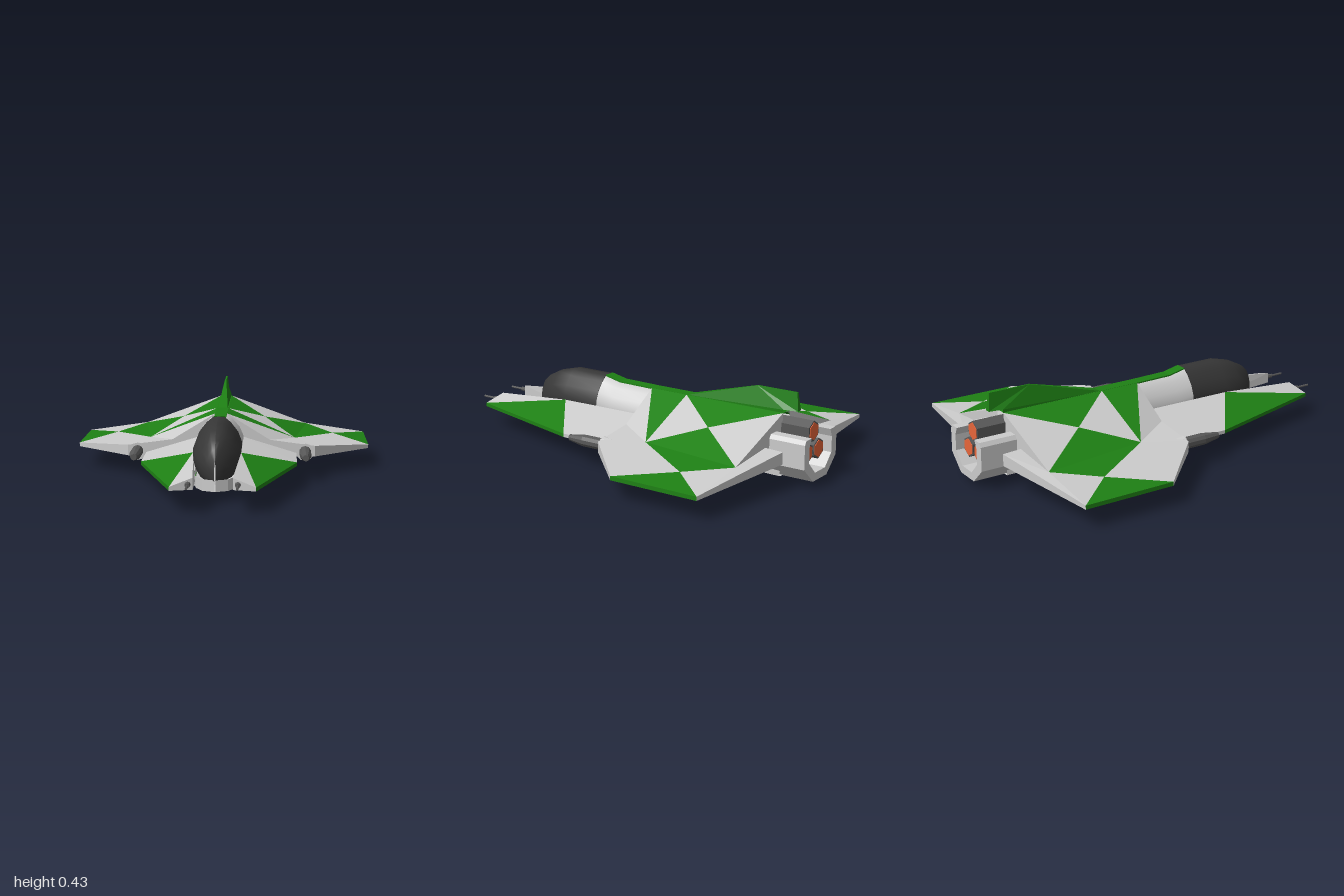
import * as THREE from 'three';

const mat = (color, flatShading = true) =>
  new THREE.MeshStandardMaterial({ color, flatShading, side: THREE.DoubleSide });
const GREY = mat(0xcccccc), GREEN = mat(0x1e8014), DARK = mat(0x404040), METAL = mat(0x585858);
const GLASS = mat(0x363636, false), SMOOTH = mat(0xcccccc, false), GLOW = mat(0xe8663a);

export function createModel() {
  const model = new THREE.Group();
  const add = (name, geometry, material, parent = model) => {
    const mesh = new THREE.Mesh(geometry, material);
    mesh.name = name;
    parent.add(mesh);
    return mesh;
  };

  // Flat polygons, turned to face away from an inner point, mirrored to both sides
  const panels = (name, material, inside, polygons) => {
    const core = new THREE.Vector3(...inside);
    for (const side of [1, -1]) {
      const pos = [];
      for (const poly of polygons) {
        for (let i = 1; i < poly.length - 1; i++) {
          const [a, b, c] = [poly[0], poly[i], poly[i + 1]].map(p => new THREE.Vector3(...p));
          const n = b.clone().sub(a).cross(c.clone().sub(a));
          const outward = n.dot(a.clone().sub(core)) > 0;
          const tri = outward === (side > 0) ? [a, b, c] : [a, c, b];
          for (const p of tri) pos.push(side * p.x, p.y, p.z);
        }
      }
      const g = new THREE.BufferGeometry();
      g.setAttribute('position', new THREE.Float32BufferAttribute(pos, 3));
      g.computeVertexNormals();
      add((side > 0 ? 'left ' : 'right ') + name, g, material);
    }
  };

  // Skin over equal-length cross-sections that run from the back to the front
  const loft = (name, sections, material) => {
    const n = sections[0].length, index = [];
    for (let i = 0; i < sections.length - 1; i++)
      for (let j = 0; j < n - 1; j++) {
        const a = i * n + j, b = a + n;
        index.push(a, b, a + 1, a + 1, b, b + 1);
      }
    const g = new THREE.BufferGeometry();
    g.setAttribute('position', new THREE.Float32BufferAttribute(sections.flat(2), 3));
    g.setIndex(index);
    g.computeVertexNormals();
    return add(name, g, material);
  };
  const mirrored = half => [...half.map(([x, y]) => [-x, y]), ...[...half].reverse()];

  // Main wing: corner points
  const ridgeF = [0.03, 0.32, -0.05], ridgeM = [0.03, 0.32, -0.26], ridgeB = [0.03, 0.32, -0.81];
  const foldF = [0.25, 0.185, -0.05], kneeM = [0.38, 0.165, -0.26], kneeB = [0.45, 0.165, -0.81];
  const shoulder = [0.48, 0.155, -0.05], tipF = [0.77, 0.12, -0.34], tipB = [0.77, 0.12, -0.81];
  const midA = [0.22, 0.243, -0.51], midB = [0.59, 0.142, -0.6];
  const finB = [0.2, 0.19, -0.91], finBLow = [0.2, 0.13, -0.91], finIn = [0.19, 0.19, -0.81];
  const low = ([x, , z]) => [x, 0.1, z];
  const wingCore = [0.3, 0.13, -0.5];

  panels('wing green panels', GREEN, wingCore, [
    [ridgeF, kneeM, ridgeM], [ridgeM, midA, ridgeB], [kneeM, kneeB, midA],
    [kneeM, midB, kneeB], [tipF, tipB, midB], [tipF, tipB, low(tipB), low(tipF)],
    [low(tipF), low(tipB), low(kneeB)],
  ]);
  panels('wing grey panels', GREY, wingCore, [
    [ridgeF, foldF, kneeM], [foldF, shoulder, kneeM], [shoulder, tipF, kneeM],
    [ridgeM, kneeM, midA], [ridgeB, midA, kneeB], [kneeM, tipF, midB], [kneeB, midB, tipB],
    [ridgeF, foldF, low(foldF), low(ridgeF)], [foldF, shoulder, low(shoulder), low(foldF)],
    [shoulder, tipF, low(tipF), low(shoulder)],
    [low(ridgeF), low(shoulder), low(tipF), low(kneeB), low(ridgeB)],
    [ridgeB, kneeB, low(kneeB), low(ridgeB)],
  ]);
  panels('wing trailing edge', GREY, [0.3, 0.14, -0.84], [
    [kneeB, tipB, finB], [kneeB, finB, finIn], [tipB, finB, finBLow, low(tipB)],
    [low(tipB), finBLow, low(finIn)], [finB, finIn, low(finIn), finBLow],
  ]);

  // Forward prongs
  const prongTip = [0.195, 0.118, 0.92], prongIn = [0.09, 0.155, 0.89], crest = [0.115, 0.197, 0.44];
  const elbow = [0.385, 0.118, 0.24], elbowB = [0.385, 0.118, -0.05], crestB = [0.115, 0.2, -0.05];
  const rootF = [0.1, 0.075, 0.55], rootB = [0.11, 0.07, 0.24], under = [0.17, 0.092, 0.56];
  const prongCore = [0.18, 0.12, 0.4];
  panels('prong green panels', GREEN, prongCore, [
    [elbow, prongTip, crest], [elbow, prongTip, low(prongTip), low(elbow)],
    [low(prongTip), low(elbow), under], [rootF, [0.22, 0.085, 0.24], rootB],
  ]);
  panels('prong grey panels', GREY, prongCore, [
    [crest, prongTip, prongIn], [elbow, crest, crestB, elbowB],
    [elbow, elbowB, low(elbowB), low(elbow)], [prongTip, prongIn, low(prongIn), low(prongTip)],
    [prongIn, crest, rootF, low(prongIn)], [low(prongTip), under, rootF, low(prongIn)],
    [under, low(elbow), [0.22, 0.085, 0.24], rootF],
    [rootB, low(elbow), low(elbowB), [0.11, 0.07, -0.05]],
  ]);

  // Cockpit canopy and the neck behind it share one dome profile
  const dome = mirrored([[0.085, 0.1], [0.108, 0.14], [0.115, 0.18], [0.114, 0.22],
    [0.095, 0.27], [0.06, 0.315], [0.03, 0.34], [0, 0.343]]);
  const domeAt = (z, w, top) => dome.map(([x, y]) => [x * w, 0.1 + (y - 0.1) * (top - 0.1) / 0.243, z]);
  loft('canopy', [[0.24, 1, 0.343], [0.45, 1, 0.343], [0.55, 0.88, 0.318], [0.62, 0.65, 0.282],
    [0.66, 0.36, 0.245], [0.68, 0.03, 0.19]].map(s => domeAt(...s)), GLASS);
  loft('neck', [domeAt(-0.06, 1, 0.317), domeAt(0.15, 1, 0.32), domeAt(0.24, 0.99, 0.34)], SMOOTH);

  // Green stripe along the spine
  loft('spine stripe', [[0.32, -0.81], [0.321, -0.05], [0.324, 0.15], [0.343, 0.24]]
    .map(([y, z]) => [[-0.03, y - 0.008, z], [-0.03, y, z], [0.03, y, z], [0.03, y - 0.008, z]]), GREEN);

  // Belly keel: half width, flank bottom, centre bottom, z
  loft('belly', [[0.1, 0.03, 0.025, -0.84], [0.13, 0.045, 0.02, -0.66], [0.115, 0.05, 0.015, -0.05],
    [0.11, 0.05, 0.015, 0.29], [0.108, 0.05, 0.048, 0.5], [0.092, 0.05, 0.05, 0.58],
    [0.06, 0.05, 0.05, 0.65], [0.002, 0.05, 0.05, 0.68]]
    .map(([w, y, c, z]) => [[w, 0.105, z], [w, y, z], [0, c, z], [-w, y, z], [-w, 0.105, z]]), GREY);

  // Canted bays below the wings
  const bay = z => [[0.26, 0.1, z], [0.155, 0, z], [0.115, 0.06, z]];
  const bayF = bay(-0.04), bayB = bay(-0.66), end = [[0.24, 0.1, -0.81], [0.16, 0.09, -0.81], [0.12, 0.1, -0.81]];
  const bayFaces = [bayF, end];
  for (const [p, q] of [[bayF, bayB], [bayB, end]])
    for (let i = 0; i < 2; i++) bayFaces.push([p[i], p[i + 1], q[i + 1], q[i]]);
  panels('underwing bay', DARK, [0.17, 0.065, -0.4], bayFaces);

  // Tail fin
  const finBase = [[0.026, 0.318, -0.26], [0.026, 0.335, -0.81], [0.015, 0.335, -0.88]];
  const finTop = [[0.004, 0.425, -0.65], [0.004, 0.425, -0.87]];
  const centre = ([, y, z]) => [0, y, z];
  panels('tail fin', GREEN, [0, 0.35, -0.7], [
    [finBase[0], finTop[0], finBase[1]], [finTop[0], finTop[1], finBase[2], finBase[1]],
    [finBase[0], finTop[0], centre(finTop[0]), centre(finBase[0])],
    [finTop[0], finTop[1], centre(finTop[1]), centre(finTop[0])],
    [finTop[1], finBase[2], centre(finBase[2]), centre(finTop[1])],
    [finBase[1], finBase[2], centre(finBase[2]), centre(finBase[1])],
    [finBase[1], [0.026, 0.318, -0.81], finBase[0]],
  ]);

  // Engine shroud: an octagon left open at the top
  const arc = [[0.14, 0.245], [0.153, 0.225], [0.153, 0.105], [0.066, 0.025]];
  const inner = [[0.09, 0.245], [0.108, 0.205], [0.108, 0.125], [0.048, 0.065]];
  const flip = pts => [...pts].reverse().map(([x, y]) => [-x, y]);
  const outline = [...arc, ...flip(arc), ...inner.map(([x, y]) => [-x, y]), ...[...inner].reverse()];
  add('engine shroud', new THREE.ExtrudeGeometry(
    new THREE.Shape(outline.map(p => new THREE.Vector2(...p))),
    { depth: 0.2, bevelEnabled: false }), GREY).position.z = -1;

  // Round parts that run along z, from z0 (radius r0) to z1 (radius r1)
  const rod = (name, x, y, z0, r0, z1, r1, sides, material) => {
    const g = new THREE.CylinderGeometry(r1, r0, z1 - z0, sides);
    g.rotateX(Math.PI / 2);
    add(name, g, material).position.set(x, y, (z0 + z1) / 2);
  };
  for (const [x, y] of [[0, 0.25], [0.052, 0.152], [-0.052, 0.152]]) {
    rod('engine', x, y, -0.96, 0.052, -0.76, 0.052, 6, METAL);
    rod('engine glow', x, y, -0.963, 0.044, -0.955, 0.044, 6, GLOW);
  }

  // Wing cannons and prong guns
  for (const s of [1, -1]) {
    rod('cannon housing', s * 0.43, 0.122, -0.3, 0.015, -0.045, 0.045, 12, GREY);
    rod('cannon body', s * 0.43, 0.125, -0.06, 0.03, 0.07, 0.03, 10, METAL);
    rod('cannon muzzle', s * 0.43, 0.125, 0.07, 0.03, 0.16, 0.016, 10, METAL);
    rod('gun mount', s * 0.113, 0.125, 0.87, 0.016, 0.93, 0.011, 8, METAL);
    rod('gun barrel', s * 0.113, 0.125, 0.92, 0.006, 1, 0.006, 8, METAL);
  }
  return model;
}
